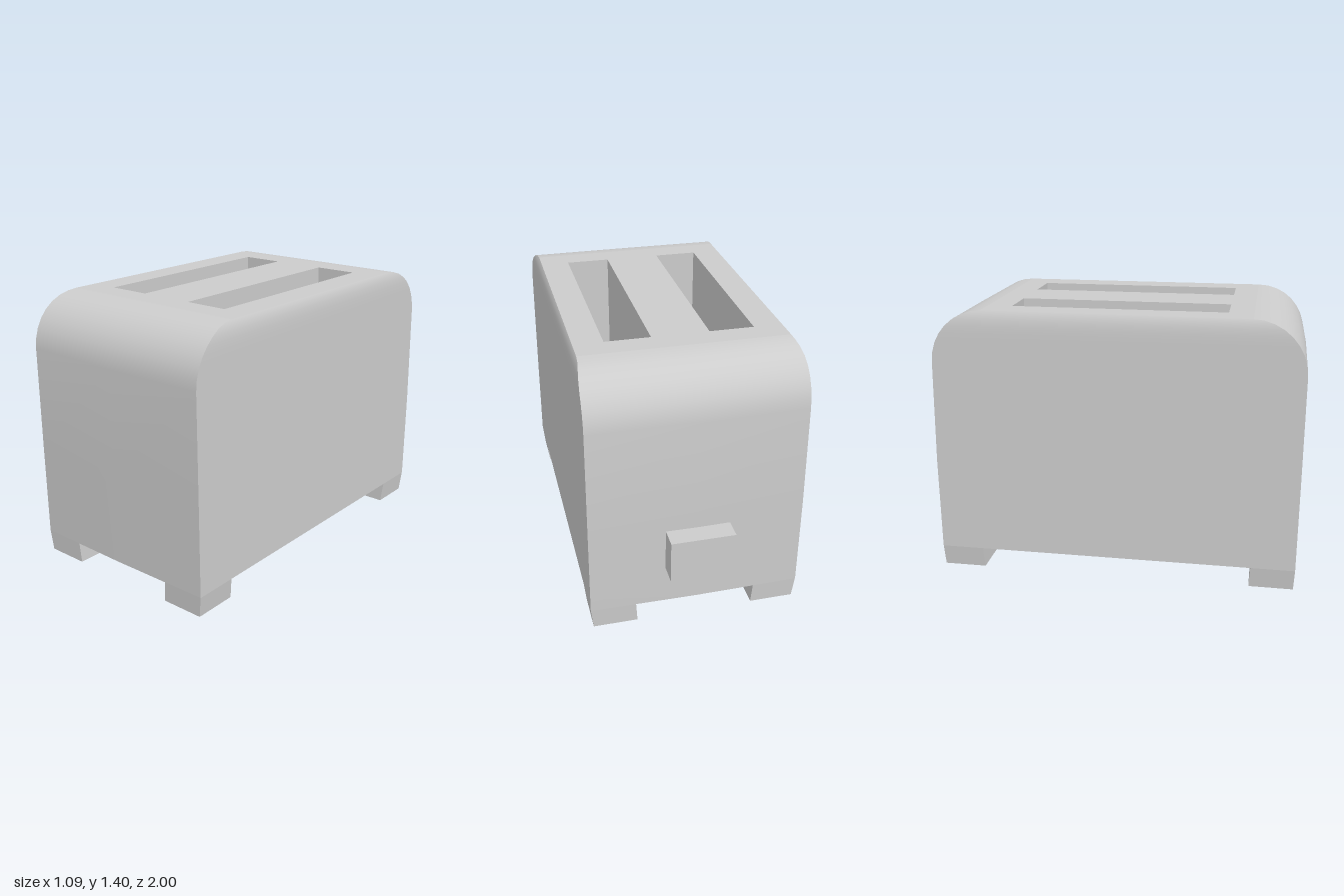
import * as THREE from 'three';
import { toCreasedNormals } from 'three/addons/utils/BufferGeometryUtils.js';

// Stack of rings {y, pts:[[x,z],...]}, counter-clockwise from above; closed at the bottom.
function loft(rings) {
  const pos = [], index = [], n = rings[0].pts.length;
  for (const { y, pts } of rings) for (const [x, z] of pts) pos.push(x, y, z);
  for (let r = 0; r < rings.length - 1; r++) {
    for (let i = 0; i < n; i++) {
      const a = r * n + i, b = r * n + (i + 1) % n;
      index.push(a, b, b + n, a, b + n, a + n);
    }
  }
  for (let i = 1; i < n - 1; i++) index.push(0, i + 1, i);
  const g = new THREE.BufferGeometry();
  g.setAttribute('position', new THREE.Float32BufferAttribute(pos, 3));
  g.setIndex(index);
  return toCreasedNormals(g, 0.6);
}

const rect = (x0, x1, z0, z1) => [[x1, z1], [x1, z0], [x0, z0], [x0, z1]];

export function createModel() {
  const group = new THREE.Group();
  const casing = new THREE.MeshStandardMaterial({ color: 0xcccccc });
  casing.name = 'grey casing';
  const add = (name, geometry) => {
    const mesh = new THREE.Mesh(geometry, casing);
    mesh.name = name;
    group.add(mesh);
    return mesh;
  };

  // Casing: upright walls, then quarter-round shoulders at front and back
  const top = 1.4, base = 0.11;
  const ring = (y, hw, zb, zf, bulge) => ({
    y, pts: [[hw, zf], [hw, zb], [0, zb - bulge], [-hw, zb], [-hw, zf], [0, zf + bulge]],
  });
  const rings = [ring(base, 0.543, -0.884, 0.99, 0.006), ring(0.6, 0.543, -0.89, 0.992, 0.008)];
  const steps = 8;
  for (let i = 0; i <= steps; i++) {
    const a = i / steps * Math.PI / 2, s = Math.sin(a), c = Math.cos(a);
    rings.push(ring(1.13 + 0.27 * s, 0.541 - 0.021 * Math.pow(s, 8),
      -0.625 - 0.26 * c, 0.725 + 0.268 * c, 0.006 * c));
  }
  add('casing', loft(rings));

  // Top panel with two openings
  const slots = [[-0.375, -0.15], [0.14, 0.37]], slotBack = -0.5, slotFront = 0.6;
  const outline = rect(-0.52, 0.52, -0.625, 0.725);
  const shape = new THREE.Shape(outline.map(([x, z]) => new THREE.Vector2(x, -z)));
  for (const [x0, x1] of slots) {
    shape.holes.push(new THREE.Path(rect(x0, x1, slotBack, slotFront)
      .map(([x, z]) => new THREE.Vector2(x, -z)).reverse()));
  }
  add('topPanel', new THREE.ShapeGeometry(shape).rotateX(-Math.PI / 2).translate(0, top, 0));

  // Bread slots: inward-facing walls and floor
  for (const [x0, x1] of slots) {
    const pts = rect(x0, x1, slotBack, slotFront).reverse();
    add('breadSlot', loft([{ y: 0.5, pts }, { y: top, pts }]));
  }

  // Four feet, tapering slightly downward on the outside
  for (const side of [-1, 1]) {
    for (const [inner, outTop, outLow] of [[0.76, 0.99, 0.985], [-0.66, -0.884, -0.878]]) {
      const level = (y, xi, xo, zi, zo) => ({
        y, pts: rect(Math.min(side * xi, side * xo), Math.max(side * xi, side * xo),
          Math.min(zi, zo), Math.max(zi, zo)),
      });
      add('foot', loft([
        level(0, 0.303, 0.53, inner - Math.sign(inner) * 0.003, outLow),
        level(base + 0.005, 0.311, 0.543, inner + Math.sign(inner) * 0.004, outTop),
      ]));
    }
  }

  // Lever on the back
  add('lever', new THREE.BoxGeometry(0.325, 0.225, 0.12)).position.set(-0.002, 0.432, -0.94);
  return group;
}
